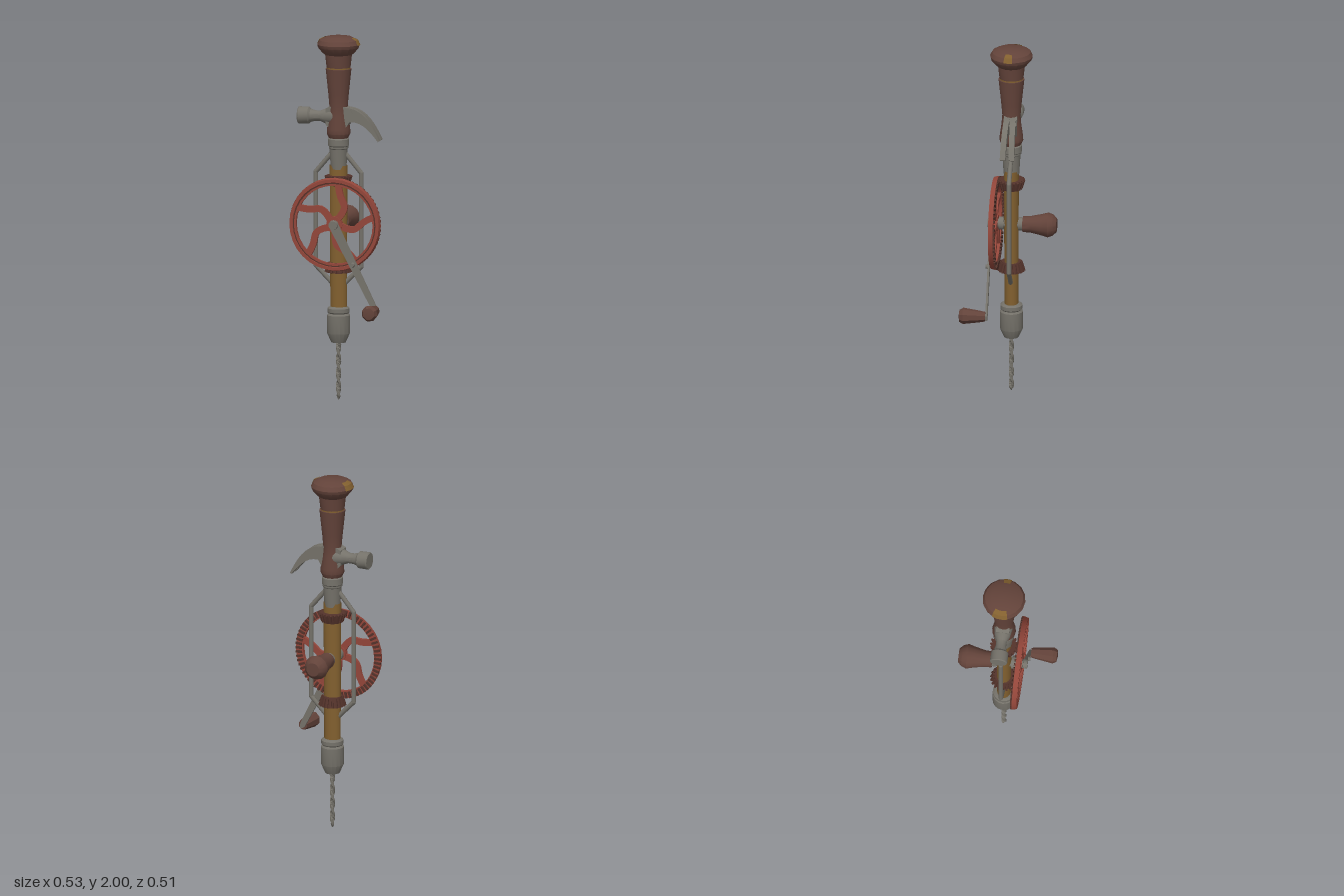
import * as THREE from 'three';
import { toCreasedNormals } from 'three/addons/utils/BufferGeometryUtils.js';

const mat = (name, color, side = THREE.FrontSide) => {
  const m = new THREE.MeshStandardMaterial({ color, side });
  m.name = name;
  return m;
};

export function createModel() {
  const root = new THREE.Group();
  root.name = 'handDrill';
  const steel = mat('steel', 0x75726a);
  const wood = mat('darkWood', 0x63433a);
  const worn = mat('wornWood', 0x82602f, THREE.DoubleSide);
  const red = mat('redPaint', 0x93463a);
  const gear = mat('gearBrown', 0x54332b);

  // everything is laid out around the tool axis
  const tool = new THREE.Group();
  tool.name = 'tool';
  tool.position.set(-0.013, 0, -0.01);
  root.add(tool);

  const add = (name, geo, material, parent = tool) => {
    const m = new THREE.Mesh(geo, material);
    m.name = name;
    parent.add(m);
    return m;
  };
  // profile is [radius, height] pairs, bottom to top
  const turned = (profile, sides = 16, start = 0, sweep = Math.PI * 2) =>
    toCreasedNormals(new THREE.LatheGeometry(profile.map(p => new THREE.Vector2(p[0], p[1])), sides, start, sweep), 0.5);
  const rod = (name, a, b, r, material, parent = tool) => {
    const va = new THREE.Vector3(...a), vb = new THREE.Vector3(...b);
    const m = add(name, new THREE.CylinderGeometry(r, r, va.distanceTo(vb), 8), material, parent);
    m.position.copy(va).add(vb).multiplyScalar(0.5);
    m.quaternion.setFromUnitVectors(new THREE.Vector3(0, 1, 0), vb.sub(va).normalize());
    return m;
  };
  const shapeOf = pts => new THREE.Shape(pts.map(p => new THREE.Vector2(p[0], p[1])));
  const slab = (shape, z0, depth) =>
    toCreasedNormals(new THREE.ExtrudeGeometry(shape, { depth, bevelEnabled: false, curveSegments: 8 }).translate(0, 0, z0), 0.5);

  // top knob, neck and handle
  add('knob', turned([[0, 1.83], [0.066, 1.83], [0.074, 1.9], [0.088, 1.91], [0.113, 1.94], [0.117, 1.957],
    [0.105, 1.98], [0.07, 1.997], [0, 2]]), wood);
  add('neckRing', turned([[0.064, 1.82], [0.064, 1.835]]), worn);
  add('handle', turned([[0, 1.435], [0.05, 1.435], [0.065, 1.465], [0.064, 1.49], [0.054, 1.56], [0.05, 1.61],
    [0.056, 1.68], [0.071, 1.822], [0, 1.825]]), wood);
  // worn patches on the knob edge
  for (const [start, sweep] of [[4.25, 0.75], [1.3, 0.4]])
    add('wornPatch', turned([[0.119, 1.955], [0.107, 1.982], [0.082, 1.994]], 3, start, sweep), worn);

  // ferrule and central tube
  add('ferrule', turned([[0, 1.27], [0.043, 1.27], [0.05, 1.38], [0.054, 1.385], [0.054, 1.395], [0.058, 1.4],
    [0.058, 1.435], [0.05, 1.445], [0, 1.445]]), steel);
  add('tube', turned([[0.046, 0.49], [0.05, 1.29]]), worn).scale.z = 0.82;

  // chuck and twisted bit
  add('chuck', turned([[0, 0.315], [0.04, 0.315], [0.063, 0.365], [0.063, 0.465], [0.055, 0.475],
    [0.061, 0.482], [0.061, 0.503], [0.05, 0.512], [0, 0.512]]), steel);
  const bit = new THREE.BoxGeometry(0.026, 0.33, 0.013, 1, 48, 1);
  const bp = bit.attributes.position;
  for (let i = 0; i < bp.count; i++) {
    const y = bp.getY(i) + 0.165, a = y * 42, s = Math.min(1, 0.15 + y * 40);
    const x = bp.getX(i) * s, z = bp.getZ(i) * s;
    bp.setXYZ(i, x * Math.cos(a) - z * Math.sin(a), y, x * Math.sin(a) + z * Math.cos(a));
  }
  add('drillBit', toCreasedNormals(bit, 0.6), steel);

  // two bevel pinions facing each other
  for (const up of [1, -1]) {
    const pinion = new THREE.Group();
    pinion.name = up > 0 ? 'upperPinion' : 'lowerPinion';
    pinion.position.y = 0.968 + up * 0.212;
    if (up < 0) pinion.rotation.z = Math.PI;
    tool.add(pinion);
    add('pinionBody', turned([[0, 0], [0.052, 0], [0.066, 0.045], [0.066, 0.055], [0, 0.055]], 20), gear, pinion);
    for (let i = 0; i < 20; i++) {
      const pivot = new THREE.Group();
      pivot.name = 'pinionTooth';
      pivot.rotation.y = i * Math.PI / 10;
      pinion.add(pivot);
      const t = add('tooth', new THREE.BoxGeometry(0.012, 0.05, 0.01), gear, pivot);
      t.position.set(0.063, 0.029, 0);
      t.rotation.z = -0.3;
    }
  }

  // side frame rods
  for (const s of [1, -1]) {
    const pts = [[0.035, 1.36], [0.128, 1.25], [0.128, 0.735], [0.035, 0.64]].map(p => [s * p[0], p[1], 0]);
    for (let i = 0; i < 3; i++) rod('frameRod', pts[i], pts[i + 1], 0.013, steel);
    for (const p of pts) add('frameJoint', new THREE.SphereGeometry(0.013, 8, 6), steel).position.set(...p);
  }

  // drive wheel, with its own centre on the axle
  const wheel = new THREE.Group();
  wheel.name = 'driveWheel';
  wheel.position.set(0, 0.975, 0.01);
  tool.add(wheel);
  add('rim', turned([[0.215, 0.066], [0.257, 0.066], [0.251, 0.092], [0.234, 0.092], [0.23, 0.086],
    [0.215, 0.086], [0.215, 0.066]], 32).rotateX(Math.PI / 2), red, wheel);
  add('rimGroove', new THREE.RingGeometry(0.226, 0.232, 32).translate(0, 0, 0.0895), gear, wheel);
  for (let i = 0; i < 64; i++) {
    const a = i * Math.PI / 32;
    const t = add('wheelTooth', new THREE.BoxGeometry(0.036, 0.012, 0.01), gear, wheel);
    t.position.set(0.238 * Math.cos(a), 0.238 * Math.sin(a), 0.062);
    t.rotation.z = a;
  }
  // S-shaped spokes
  const path = new THREE.CatmullRomCurve3([[0.005, 0.02], [0.04, 0.06], [0.055, 0.1], [0.032, 0.16], [0.02, 0.225]]
    .map(p => new THREE.Vector3(p[0], p[1], 0)));
  const left = [], right = [];
  for (let i = 0; i <= 14; i++) {
    const p = path.getPoint(i / 14), t = path.getTangent(i / 14), w = 0.018;
    left.push([p.x - t.y * w, p.y + t.x * w]);
    right.unshift([p.x + t.y * w, p.y - t.x * w]);
  }
  const spokeGeo = slab(shapeOf([...left, ...right]), 0.068, 0.017);
  for (let i = 0; i < 5; i++) add('spoke', spokeGeo, red, wheel).rotation.z = i * Math.PI * 0.4;
  add('wheelHub', new THREE.CylinderGeometry(0.045, 0.045, 0.026, 16).rotateX(Math.PI / 2).translate(0, 0, 0.076), red, wheel);

  // axle through the tube
  rod('axle', [0, 0, 0.095], [0, 0, -0.08], 0.026, steel, wheel);
  for (const z of [0.045, -0.062])
    add('axleCollar', new THREE.CylinderGeometry(0.036, 0.036, 0.025, 16).rotateX(Math.PI / 2).translate(0, 0, z), steel, wheel);
  add('axleNut', new THREE.CylinderGeometry(0.024, 0.028, 0.022, 12).rotateX(Math.PI / 2).translate(0, 0, 0.108), steel, wheel);

  // crank arm, rivet and grip
  const crank = new THREE.Group();
  crank.name = 'crank';
  crank.rotation.z = Math.atan2(-0.46, 0.235);
  wheel.add(crank);
  const L = 0.515;
  add('crankArm', slab(shapeOf([[-0.02, -0.02], [0, -0.026], [L, -0.015], [L + 0.022, 0], [L, 0.015], [0, 0.026], [-0.02, 0.02]]),
    0.096, 0.011), steel, crank);
  add('crankRivet', new THREE.CylinderGeometry(0.01, 0.014, 0.014, 8).rotateX(Math.PI / 2).translate(0.24, 0, 0.113), steel, crank);
  add('crankGrip', turned([[0, 0], [0.026, 0], [0.032, 0.03], [0.045, 0.122], [0.033, 0.142], [0, 0.147]], 8)
    .rotateX(Math.PI / 2).translate(L, 0, 0.107), wood, crank);

  // fixed side grip at the back
  add('sideGrip', turned([[0, 0], [0.044, 0], [0.046, 0.045], [0.058, 0.1], [0.068, 0.138], [0.058, 0.165],
    [0.038, 0.185], [0, 0.186]], 14).rotateX(-Math.PI / 2).translate(0, 0, -0.073), wood, wheel);

  // hammer head: face and neck
  const hammer = new THREE.Group();
  hammer.name = 'hammerHead';
  hammer.position.y = 1.558;
  tool.add(hammer);
  add('hammerFace', turned([[0, 0.02], [0.05, 0.02], [0.042, 0.07], [0.029, 0.1], [0.029, 0.13], [0.036, 0.155],
    [0.047, 0.166], [0.048, 0.22], [0.044, 0.225], [0, 0.225]], 20).rotateZ(Math.PI / 2), steel, hammer);
  add('hammerCheek', slab(shapeOf([[-0.065, -0.04], [-0.035, -0.075], [0.035, -0.075], [0.06, -0.04],
    [0.09, 0.02], [0.075, 0.045], [0.04, 0.058], [-0.04, 0.058], [-0.065, 0.045]]), -0.036, 0.072), steel, hammer);
  // split claw
  const claw = new THREE.Shape();
  claw.moveTo(0.03, 0.055);
  claw.bezierCurveTo(0.13, 0.055, 0.18, 0, 0.238, -0.122);
  claw.lineTo(0.23, -0.128);
  claw.bezierCurveTo(0.17, -0.05, 0.12, -0.01, 0.05, -0.03);
  claw.closePath();
  for (const s of [1, -1]) {
    const g = slab(claw, -0.015, 0.03);
    const p = g.attributes.position;
    for (let i = 0; i < p.count; i++) p.setZ(i, p.getZ(i) + s * (0.014 + 0.042 * Math.min(p.getX(i), 0.24)));
    add('clawProng', g, steel, hammer);
  }
  return root;
}
